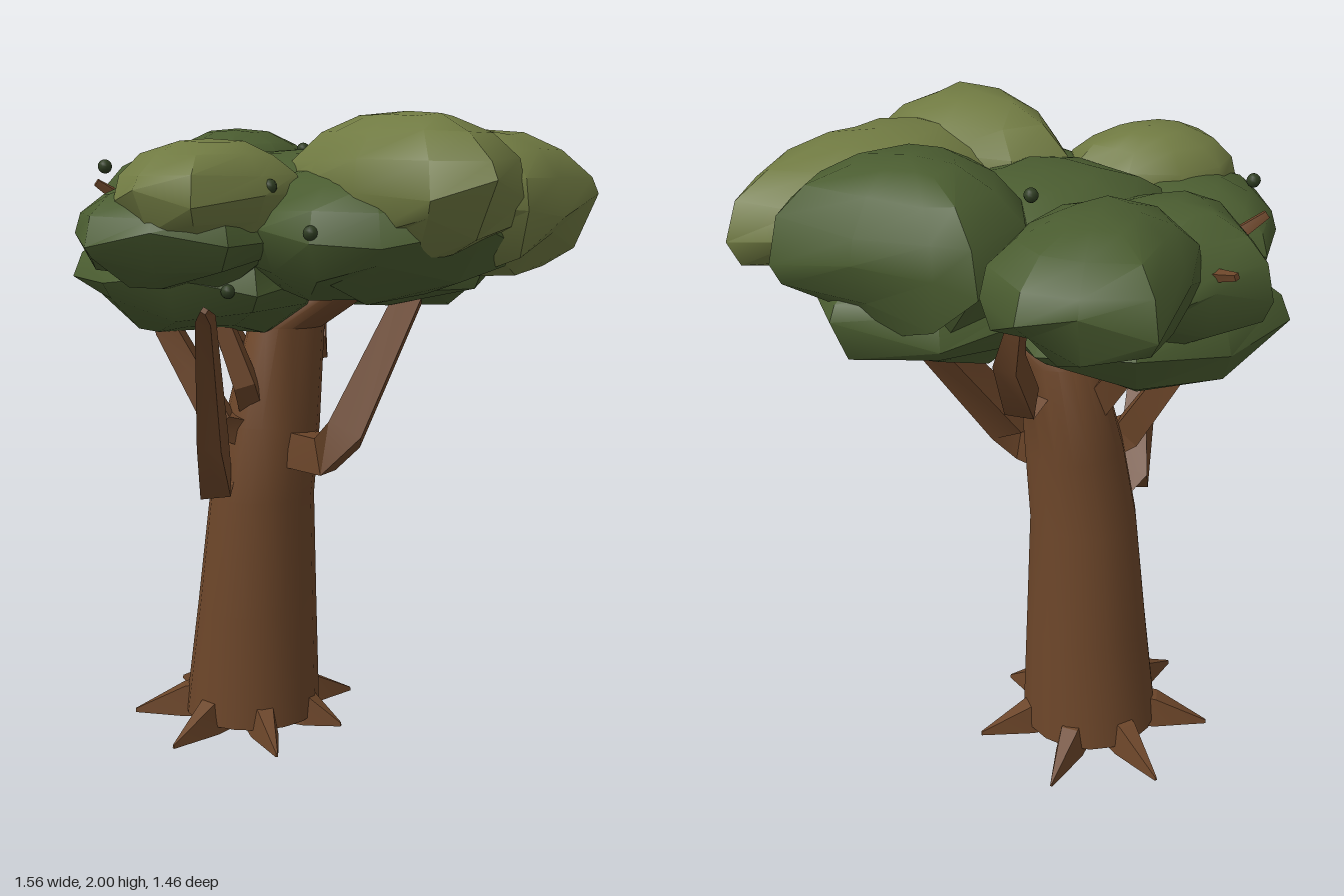
import * as THREE from 'three';
import { toCreasedNormals } from 'three/addons/utils/BufferGeometryUtils.js';

const bark = new THREE.MeshStandardMaterial({ color: 0x6b4529 });
const darkLeaf = new THREE.MeshStandardMaterial({ color: 0x4a5c30 });
const lightLeaf = new THREE.MeshStandardMaterial({ color: 0x707a42 });
const fruitGreen = new THREE.MeshStandardMaterial({ color: 0x2f3d22 });

function indexedGeometry(pos, index, crease) {
  const g = new THREE.BufferGeometry();
  g.setAttribute('position', new THREE.Float32BufferAttribute(pos, 3));
  g.setIndex(index);
  return toCreasedNormals(g, crease);
}

// Tapered limb through points [x, y, z, radius]; level rings suit an upright trunk
function limb(points, sides, crease, level = false) {
  const centres = points.map(p => new THREE.Vector3(p[0], p[1], p[2]));
  const pos = [], index = [], last = points.length - 1;
  centres.forEach((c, i) => {
    const t = level ? new THREE.Vector3(0, 1, 0)
      : centres[Math.min(i + 1, last)].clone().sub(centres[Math.max(i - 1, 0)]).normalize();
    const u = new THREE.Vector3(0.31, 0.1, 0.95).cross(t).normalize();
    const v = t.clone().cross(u);
    for (let k = 0; k < sides; k++) {
      const a = (k + 0.5) / sides * Math.PI * 2, r = points[i][3];
      const p = c.clone().addScaledVector(u, r * Math.cos(a)).addScaledVector(v, r * Math.sin(a));
      pos.push(p.x, p.y, p.z);
    }
  });
  for (let i = 0; i < last; i++) for (let k = 0; k < sides; k++) {
    const a = i * sides + k, b = i * sides + (k + 1) % sides;
    index.push(a, b, a + sides, b, b + sides, a + sides);
  }
  for (let k = 1; k < sides - 1; k++) {
    index.push(0, k + 1, k);
    index.push(last * sides, last * sides + k, last * sides + k + 1);
  }
  return indexedGeometry(pos, index, crease);
}

// Root tapering from a tall inner end to a point on the ground
function rootSpike(length) {
  const pos = [], index = [];
  [[0, 0.05, 0.13], [0.22, 0.046, 0.1], [length, 0.004, 0.012]].forEach(([x, w, h]) =>
    pos.push(x, 0, -w, x, 0, w, x, h, w * 0.6, x, h, -w * 0.6));
  for (let i = 0; i < 2; i++) for (let k = 0; k < 4; k++) {
    const a = i * 4 + k, b = i * 4 + (k + 1) % 4;
    index.push(a, a + 4, b, b, a + 4, b + 4);
  }
  index.push(8, 11, 10, 8, 10, 9);
  return indexedGeometry(pos, index, 0.3);
}

// Leaf mass: clockwise plan outline [x, z, ...] swept through a domed profile, uneven below
const dome = [[1, 0], [0.97, 0.38], [0.86, 0.7], [0.68, 0.93], [0.48, 1], [0.24, 0.86], [0.07, 0.52], [0, 0]];
function leafMass(y0, y1, outline, seed) {
  const n = outline.length / 2, pos = [], index = [];
  let cx = 0, cz = 0;
  for (let k = 0; k < n; k++) {
    cx += outline[2 * k] / n;
    cz += outline[2 * k + 1] / n;
  }
  dome.forEach(([h, s], i) => {
    for (let k = 0; k < n; k++) {
      const bump = Math.sin(i * 4.1 + k * 2.7 + seed * 5.3);
      const scale = s * (i === 4 ? 1 : 1 + (i > 4 ? 0.08 : 0.015) * bump);
      const lift = s ? (i > 3 ? 0.08 : 0.01) * Math.sin(i * 2.3 + k * 3.9 + seed) : 0;
      const y = y0 + (y1 - y0) * THREE.MathUtils.clamp(h + lift, 0, 1);
      pos.push(cx + (outline[2 * k] - cx) * scale, y, cz + (outline[2 * k + 1] - cz) * scale);
    }
  });
  for (let i = 0; i < dome.length - 1; i++) for (let k = 0; k < n; k++) {
    const a = i * n + k, b = i * n + (k + 1) % n;
    if (i > 0) index.push(a, b, b + n);
    if (i < dome.length - 2) index.push(a, b + n, a + n);
  }
  return indexedGeometry(pos, index, 0.65);
}

export function createModel() {
  const tree = new THREE.Group();
  tree.name = 'tree';
  const add = (name, geometry, material) => {
    const mesh = new THREE.Mesh(geometry, material);
    mesh.name = name;
    tree.add(mesh);
    return mesh;
  };

  // Leaning trunk
  add('trunk', limb([
    [-0.23, 0.025, -0.015, 0.226], [-0.205, 0.4, -0.01, 0.197], [-0.178, 0.78, 0, 0.17],
    [-0.142, 1.02, -0.005, 0.155], [-0.11, 1.33, -0.045, 0.122], [0.1, 1.47, -0.06, 0.115], [0.25, 1.6, -0.08, 0.07],
  ], 18, 0.8, true), bark);

  // Seven pointed roots in a star
  for (let i = 0; i < 7; i++) {
    const root = add('root', rootSpike(i === 0 ? 0.335 : 0.39), bark);
    root.position.set(-0.24, 0, -0.015);
    root.rotation.y = 0.09 - i / 7 * Math.PI * 2;
  }

  // Elbowed branches
  [
    [[-0.12, 0.95, 0.02, 0.08], [0.08, 0.94, 0.045, 0.083], [0.125, 1.0, 0, 0.08], [0.21, 1.45, -0.33, 0.058]],
    [[-0.23, 0.85, 0.08, 0.075], [-0.235, 0.84, 0.19, 0.07], [-0.18, 1.0, 0.29, 0.055], [-0.05, 1.41, 0.52, 0.033], [-0.02, 1.44, 0.57, 0.012]],
    [[-0.15, 0.98, 0.05, 0.07], [-0.24, 1.03, 0.15, 0.064], [-0.41, 1.32, 0.18, 0.05], [-0.52, 1.72, 0.24, 0.03], [-0.58, 1.78, 0.31, 0.015]],
    [[-0.13, 1.12, 0, 0.06], [-0.21, 1.17, 0.02, 0.06], [-0.4, 1.42, -0.03, 0.045], [-0.62, 1.74, -0.1, 0.028], [-0.75, 1.77, -0.12, 0.012]],
    [[-0.1, 1.25, -0.05, 0.07], [-0.11, 1.24, -0.22, 0.066], [-0.2, 1.46, -0.38, 0.05], [-0.26, 1.6, -0.42, 0.03]],
    [[-0.16, 1.08, 0.08, 0.055], [-0.15, 1.16, 0.14, 0.048], [-0.27, 1.5, 0.18, 0.03]],
  ].forEach(points => add('branch', limb(points, 4, 0.4), bark));

  // Crown of overlapping leaf masses
  const leaves = (name, material, y0, y1, outline) =>
    add(name, leafMass(y0, y1, outline, tree.children.length), material);
  leaves('backRightFoliage', darkLeaf, 1.58, 1.95,
    [-0.78, -0.51, -0.62, -0.62, -0.47, -0.68, -0.29, -0.6, -0.23, -0.45, -0.21, -0.22, -0.3, -0.02, -0.5, -0.02, -0.65, -0.12, -0.71, -0.27]);
  leaves('backFoliage', darkLeaf, 1.52, 2.0,
    [-0.26, -0.57, -0.15, -0.62, 0.07, -0.7, 0.36, -0.73, 0.45, -0.58, 0.45, -0.36, 0.36, -0.16, 0.1, -0.09, -0.1, -0.17, -0.24, -0.32]);
  leaves('leftFoliage', lightLeaf, 1.5, 1.94,
    [0.42, -0.57, 0.64, -0.65, 0.78, -0.43, 0.77, -0.15, 0.75, 0.1, 0.55, 0.3, 0.3, 0.33, 0.17, 0.05, 0.16, -0.2, 0.24, -0.42]);
  leaves('frontLeftFoliage', lightLeaf, 1.57, 1.985,
    [0.03, 0.2, 0.12, 0.03, 0.38, -0.06, 0.6, -0.03, 0.73, 0.06, 0.77, 0.39, 0.62, 0.48, 0.38, 0.45, 0.18, 0.34]);
  leaves('frontFoliage', lightLeaf, 1.6, 1.91,
    [-0.31, 0.5, -0.26, 0.36, -0.13, 0.25, -0.04, 0.24, 0.07, 0.23, 0.17, 0.35, 0.15, 0.52, 0.04, 0.72, -0.14, 0.73, -0.28, 0.63]);
  leaves('frontRightFoliage', darkLeaf, 1.48, 1.8,
    [-0.57, 0.35, -0.48, 0.18, -0.3, 0.12, 0, 0.2, 0.13, 0.4, 0.08, 0.6, -0.1, 0.71, -0.33, 0.7, -0.48, 0.55]);
  leaves('rightFoliage', darkLeaf, 1.5, 1.88,
    [-0.78, 0.03, -0.7, -0.13, -0.6, -0.3, -0.35, -0.3, -0.16, -0.1, -0.2, 0.14, -0.36, 0.27, -0.5, 0.27, -0.65, 0.15]);
  leaves('lowerLeftFoliage', darkLeaf, 1.45, 1.84,
    [-0.2, 0.1, 0, -0.2, 0.4, -0.22, 0.68, 0, 0.69, 0.25, 0.48, 0.48, 0.29, 0.53, 0.1, 0.48, -0.1, 0.35]);
  leaves('lowerRightFoliage', darkLeaf, 1.32, 1.68,
    [-0.69, 0.3, -0.68, 0, -0.55, -0.27, -0.25, -0.33, 0, -0.2, 0.1, 0.1, 0.05, 0.4, -0.2, 0.5, -0.5, 0.4]);
  leaves('lowerBackFoliage', darkLeaf, 1.38, 1.72,
    [-0.22, -0.3, -0.1, -0.55, 0.2, -0.67, 0.45, -0.5, 0.5, -0.2, 0.25, 0, -0.1, -0.02]);
  leaves('centreFoliage', darkLeaf, 1.5, 1.88,
    [-0.4, 0.05, -0.31, -0.25, -0.15, -0.36, 0.15, -0.32, 0.32, -0.1, 0.3, 0.2, 0.1, 0.37, -0.25, 0.35]);

  // Small round fruits
  [
    [-0.47, 1.83, 0.41], [-0.63, 1.66, 0.21], [0.14, 1.78, 0.48],
    [0.29, 1.66, 0.52], [-0.03, 1.48, 0.43], [-0.14, 1.88, -0.21],
  ].forEach(([x, y, z]) => {
    add('fruit', new THREE.SphereGeometry(0.021, 10, 8), fruitGreen).position.set(x, y, z);
  });
  return tree;
}
